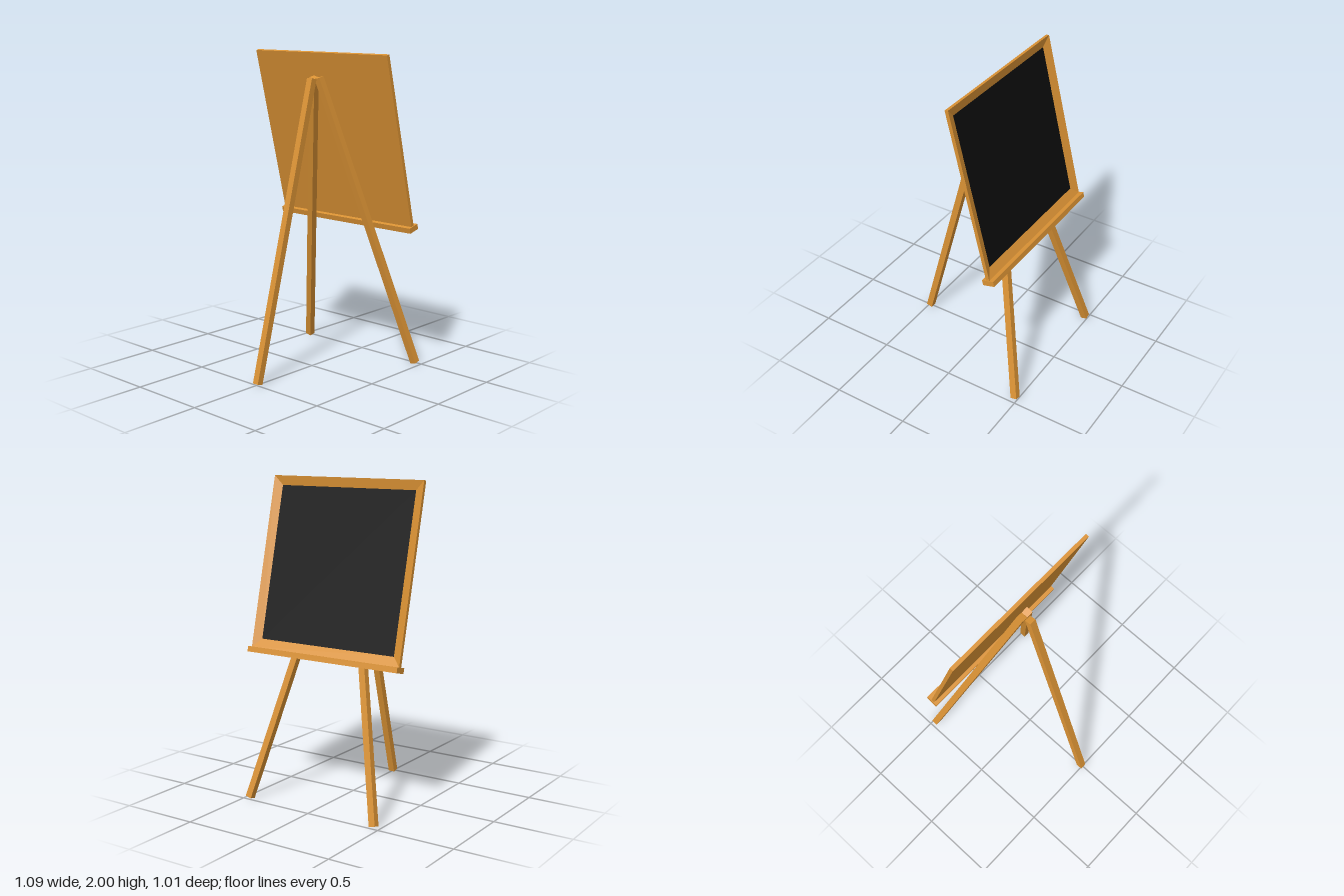
import * as THREE from 'three';

const wood = new THREE.MeshStandardMaterial({ color: 0xda9234, flatShading: true });
const slate = new THREE.MeshStandardMaterial({ color: 0x0d0d0d, flatShading: true });

// square beam between two points
function beam(name, top, foot, width) {
  const a = new THREE.Vector3(...top), b = new THREE.Vector3(...foot);
  const dir = a.clone().sub(b);
  const mesh = new THREE.Mesh(new THREE.BoxGeometry(width, dir.length(), width), wood);
  mesh.name = name;
  mesh.position.copy(a).add(b).multiplyScalar(0.5);
  mesh.quaternion.setFromUnitVectors(new THREE.Vector3(0, 1, 0), dir.normalize());
  return mesh;
}

// closed skin over rectangular rings [halfWidth, halfHeight, z], ordered from the back outwards to the front
function ringSkin(rings) {
  const corners = rings.map(([w, h, z]) => [[-w, -h, z], [w, -h, z], [w, h, z], [-w, h, z]]);
  const pos = [];
  const quad = (a, b, c, d) => pos.push(...a, ...b, ...c, ...a, ...c, ...d);
  const back = corners[0];
  quad(back[3], back[2], back[1], back[0]);
  for (let r = 0; r < rings.length - 1; r++) {
    for (let i = 0; i < 4; i++) {
      const j = (i + 1) % 4;
      quad(corners[r][i], corners[r][j], corners[r + 1][j], corners[r + 1][i]);
    }
  }
  const g = new THREE.BufferGeometry();
  g.setAttribute('position', new THREE.Float32BufferAttribute(pos, 3));
  g.computeVertexNormals();
  return g;
}

export function createModel() {
  const model = new THREE.Group();
  model.name = 'easel';

  // tripod: a splayed pair under the board and a single prop leg
  for (const s of [1, -1]) {
    model.add(beam(s > 0 ? 'leftLeg' : 'rightLeg', [s * 0.021, 1.844, -0.041], [s * 0.461, 0.01, -0.482], 0.042));
  }
  model.add(beam('propLeg', [0, 1.838, 0.002], [0, 0.006, 0.489], 0.042));

  // tilted board group: local +z is the writing side, local origin is the top edge of its face
  const board = new THREE.Group();
  board.name = 'board';
  board.position.set(0, 2, -0.077);
  board.rotation.set(-0.2435, Math.PI, 0, 'YXZ');
  model.add(board);

  const W = 0.54, H = 0.5435, bevel = 0.057, thick = 0.023, depth = 0.021;

  // frame with mitred bevels falling inwards to the panel
  const frame = new THREE.Mesh(ringSkin([
    [W, H, -thick], [W, H, 0], [W - bevel, H - bevel, -depth],
  ]), wood);
  frame.name = 'frame';
  frame.position.y = -H;
  board.add(frame);

  // writing panel
  const panel = new THREE.Mesh(new THREE.PlaneGeometry(2 * (W - bevel), 2 * (H - bevel)), slate);
  panel.name = 'writingPanel';
  panel.position.set(0, -H, -depth);
  board.add(panel);

  // ledge carrying the board
  const ledge = new THREE.Mesh(new THREE.BoxGeometry(1.092, 0.034, 0.079), wood);
  ledge.name = 'ledge';
  ledge.position.set(0, -2 * H - 0.017, -0.009);
  board.add(ledge);

  return model;
}
